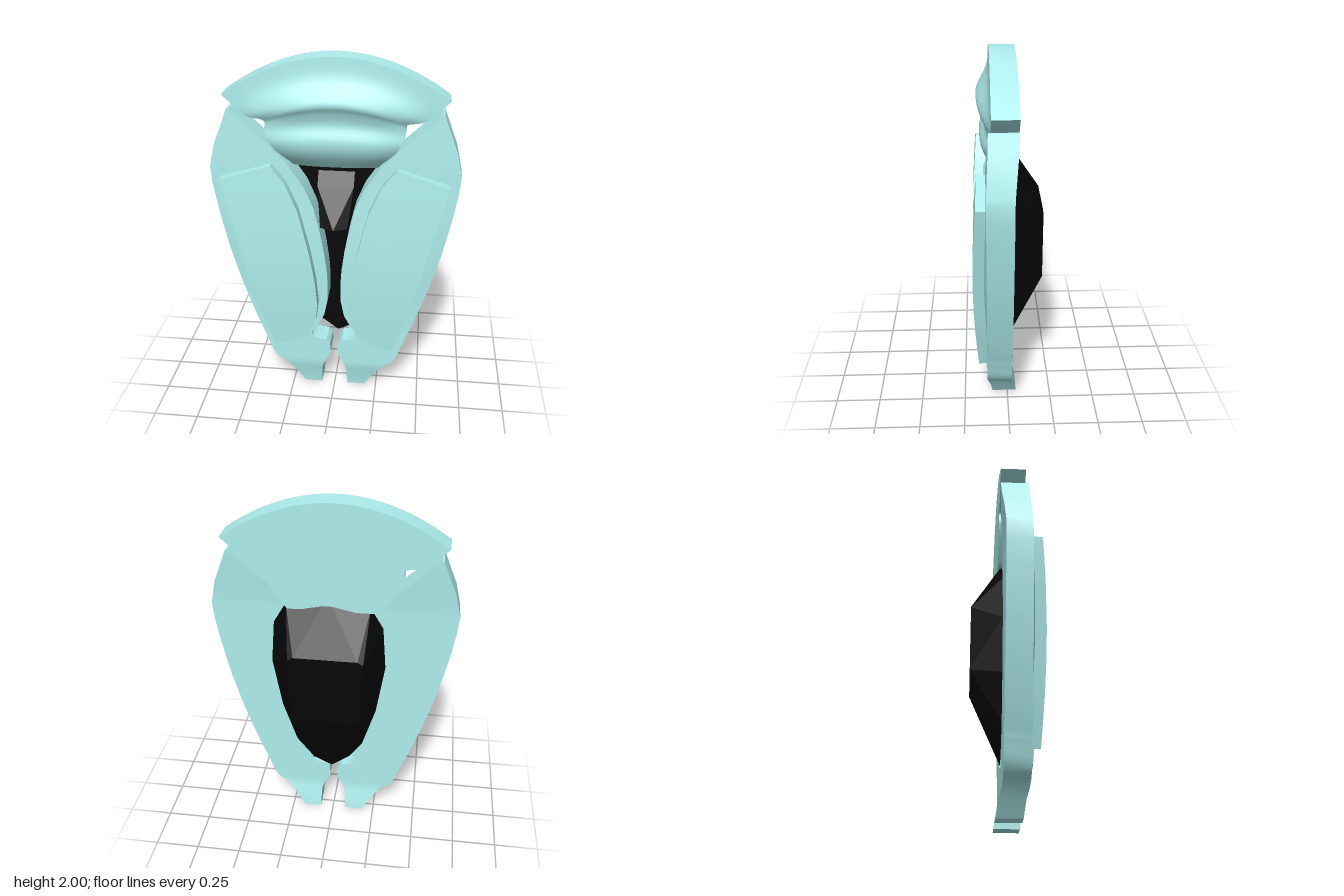
import * as THREE from 'three';
import { toCreasedNormals } from 'three/addons/utils/BufferGeometryUtils.js';
import { ConvexGeometry } from 'three/addons/geometries/ConvexGeometry.js';

const shellMat = new THREE.MeshStandardMaterial({ color: 0xafeeee });
const darkMat = new THREE.MeshStandardMaterial({ color: 0x060606 });
darkMat.flatShading = true;

const mix = THREE.MathUtils.lerp;
const smooth = THREE.MathUtils.smoothstep;

// Closed slab: rows run top to bottom, t runs along +x; at(row, t) gives [x, y, zFront, zBack]
function slab(rows, n, at) {
  const pos = [], idx = [], m = 2 * (n + 1);
  rows.forEach(r => {
    for (let k = 0; k <= n; k++) { const [x, y, f] = at(r, k / n); pos.push(x, y, f); }
    for (let k = n; k >= 0; k--) { const [x, y, , b] = at(r, k / n); pos.push(x, y, b); }
  });
  const last = (rows.length - 1) * m;
  for (let i = 0; i < rows.length - 1; i++) {
    for (let j = 0; j < m; j++) {
      const a = i * m + j, d = i * m + (j + 1) % m;
      idx.push(a, a + m, d + m, a, d + m, d);
    }
  }
  for (let k = 0; k < n; k++) {
    const f = k, g = k + 1, b = m - 1 - k, c = m - 2 - k;
    idx.push(f, g, c, f, c, b);
    idx.push(last + f, last + c, last + g, last + f, last + b, last + c);
  }
  const geo = new THREE.BufferGeometry();
  geo.setAttribute('position', new THREE.Float32BufferAttribute(pos, 3));
  geo.setIndex(idx);
  return toCreasedNormals(geo, 0.6);
}

// Resample sparse rows with a smooth curve through each column
function refine(rows, steps) {
  const out = [];
  const cr = (a, b, c, d, t) => 0.5 * (2 * b + (c - a) * t + (2 * a - 5 * b + 4 * c - d) * t * t
    + (3 * b - a - 3 * c + d) * t * t * t);
  for (let i = 0; i < rows.length - 1; i++) {
    const p = rows[Math.max(i - 1, 0)], q = rows[i], r = rows[i + 1];
    const s = rows[Math.min(i + 2, rows.length - 1)];
    for (let k = 0; k < steps; k++) out.push(q.map((v, c) => cr(p[c], v, r[c], s[c], k / steps)));
  }
  out.push(rows[rows.length - 1]);
  return out;
}

// Side shell rows: y, inner x, outer x
const WING = [
  [1.72, 0.555, 0.565], [1.63, 0.46, 0.6], [1.53, 0.35, 0.64], [1.43, 0.25, 0.663],
  [1.4, 0.23, 0.67], [1.3, 0.163, 0.662], [1.18, 0.112, 0.643], [1.06, 0.083, 0.62],
  [0.92, 0.058, 0.59], [0.8, 0.042, 0.558], [0.7, 0.036, 0.53], [0.6, 0.038, 0.498],
  [0.5, 0.058, 0.465], [0.43, 0.095, 0.44], [0.38, 0.127, 0.42], [0.355, 0.128, 0.41],
  [0.338, 0.11, 0.405], [0.325, 0.045, 0.4], [0.3, 0.024, 0.39], [0.25, 0.02, 0.375],
  [0.21, 0.03, 0.355], [0.185, 0.047, 0.335], [0.16, 0.06, 0.29], [0.13, 0.07, 0.265],
  [0.08, 0.073, 0.23], [0, 0.077, 0.18],
];

function wing(side) {
  return slab(WING, 10, ([y, xi, xo], t) => {
    const u = side > 0 ? t : 1 - t;
    const foot = 0.03 * (1 - smooth(y, 0.02, 0.17));
    const tip = smooth(y, 1.38, 1.74);
    const swell = 0.03 * Math.sin(Math.PI * u) * smooth(y, 0.4, 0.9) * (1 - smooth(y, 1, 1.4));
    return [side * mix(xi, xo, u), y, 0.118 - foot - 0.014 * tip + swell, -0.02 - foot - 0.025 * tip];
  });
}

// Raised panel rows: inner x, inner y, outer x, outer y
const PANEL = [
  [0.335, 1.432, 0.61, 1.35], [0.26, 1.34, 0.592, 1.26], [0.19, 1.18, 0.555, 1.11],
  [0.13, 0.93, 0.5, 0.88], [0.1, 0.75, 0.455, 0.7], [0.088, 0.6, 0.418, 0.55],
  [0.1, 0.5, 0.39, 0.46], [0.15, 0.37, 0.34, 0.305],
];

function panel(side) {
  return slab(PANEL, 6, ([xi, yi, xo, yo], t) => {
    const u = side > 0 ? t : 1 - t, y = mix(yi, yo, u);
    return [side * mix(xi, xo, u), y, 0.164 + 0.026 * Math.sin(Math.PI * (1.432 - y) / 1.127), 0.09];
  });
}

// Crown rows: half width, y at ends, y at centre, front z at centre, front z at ends
const CROWN = [
  [0.592, 1.79, 2.0, 0.09, 0.09], [0.525, 1.73, 1.9, 0.1, 0.09], [0.465, 1.678, 1.81, 0.145, 0.09],
  [0.385, 1.665, 1.765, 0.16, 0.095], [0.368, 1.645, 1.72, 0.138, 0.09],
  [0.37, 1.6, 1.65, 0.12, 0.09], [0.345, 1.54, 1.57, 0.145, 0.1],
  [0.3, 1.47, 1.49, 0.125, 0.08], [0.25, 1.4, 1.4, 0.06, 0.03],
];

function crown() {
  return slab(refine(CROWN, 4), 28, ([w, ye, yc, zc, ze], t) => {
    const s = 2 * t - 1, a = Math.abs(s);
    return [w * s, mix(yc, ye, s * s), mix(zc, ze, a * a * a), -0.045];
  });
}

// Faceted dark core: base outline tapering to a flat plateau at the rear
function core() {
  const base = [[-0.2, 1.42], [-0.27, 1.3], [-0.29, 1.05], [-0.245, 0.75], [-0.17, 0.5], [-0.1, 0.4],
    [0.01, 0.315], [0.12, 0.37], [0.22, 0.5], [0.3, 0.75], [0.35, 1.05], [0.33, 1.3], [0.26, 1.42], [0.03, 1.47]];
  const rear = [[-0.18, 1.16], [-0.15, 1.18], [0.2, 1.18], [0.23, 1.16], [0.22, 0.79], [0.18, 0.77], [-0.13, 0.77], [-0.17, 0.79]];
  return new ConvexGeometry([
    ...base.map(([x, y]) => new THREE.Vector3(x, y, -0.02)),
    ...rear.map(([x, y]) => new THREE.Vector3(x, y, -0.19)),
  ]);
}

// Wedge on the front of the core, between the side shells
function wedge() {
  const pts = [new THREE.Vector3(0, 1.07, 0.165)];
  for (const s of [-1, 1]) {
    pts.push(new THREE.Vector3(s * 0.075, 1.07, 0.13), new THREE.Vector3(s * 0.075, 1.04, -0.03),
      new THREE.Vector3(s * 0.1, 1.28, 0.04), new THREE.Vector3(s * 0.1, 1.36, -0.03));
  }
  return new ConvexGeometry(pts);
}

export function createModel() {
  const model = new THREE.Group();
  model.name = 'shell';
  const add = (name, geo, mat) => {
    const mesh = new THREE.Mesh(geo, mat);
    mesh.name = name;
    model.add(mesh);
  };
  add('crown', crown(), shellMat);
  for (const [name, s] of [['left', 1], ['right', -1]]) {
    add(name + 'SideShell', wing(s), shellMat);
    add(name + 'Panel', panel(s), shellMat);
  }
  add('core', core(), darkMat);
  add('coreWedge', wedge(), darkMat);
  return model;
}
